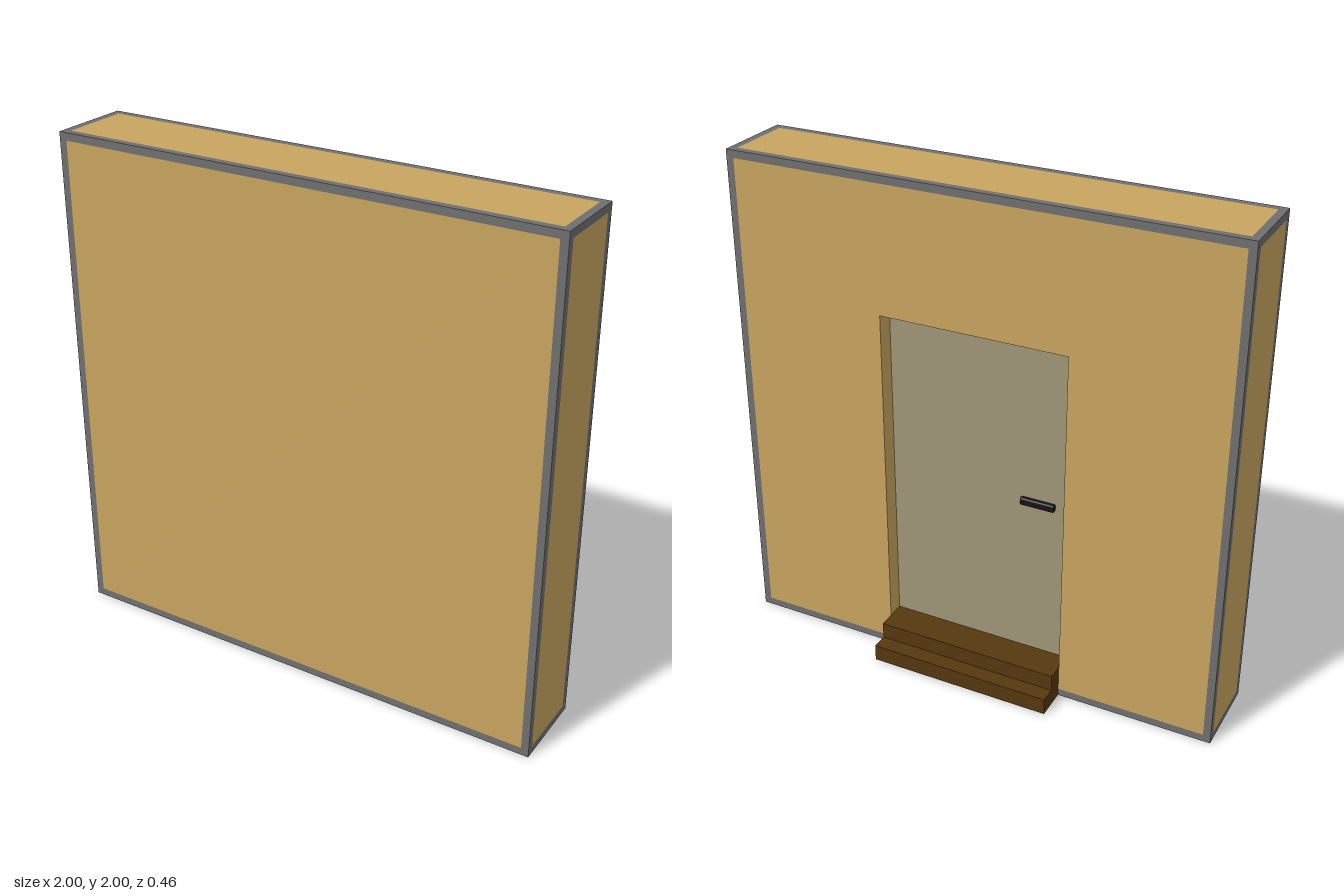
import * as THREE from 'three';
import { RoundedBoxGeometry } from 'three/addons/geometries/RoundedBoxGeometry.js';

const paint = (color) => new THREE.MeshStandardMaterial({ color });

export function createModel() {
  const model = new THREE.Group();
  const tan = paint(0xc8a45f), grey = paint(0x6f6f6f), brown = paint(0x55380f);
  const doorPaint = paint(0xa09677), black = paint(0x141414);

  // Outer extents of the wall, trim thickness and doorway
  const X = 1, H = 2, Z0 = -0.1, Z1 = 0.23, T = 0.03;
  const doorX = 0.375, doorTop = 1.467, doorZ = -0.03, stepTop = 0.135;

  // Box given by its two opposite corners
  const box = (name, mat, [x0, y0, z0], [x1, y1, z1], parent = model) => {
    const mesh = new THREE.Mesh(new THREE.BoxGeometry(x1 - x0, y1 - y0, z1 - z0), mat);
    mesh.position.set((x0 + x1) / 2, (y0 + y1) / 2, (z0 + z1) / 2);
    mesh.name = name;
    parent.add(mesh);
    return mesh;
  };

  // Grey trim along all twelve edges
  const trim = new THREE.Group();
  trim.name = 'edgeTrim';
  model.add(trim);
  for (const z of [Z0, Z1 - T]) {
    for (const y of [0, H - T]) box('horizontalTrim', grey, [-X, y, z], [X, y + T, z + T], trim);
    for (const x of [-X, X - T]) box('verticalTrim', grey, [x, T, z], [x + T, H - T, z + T], trim);
  }
  for (const x of [-X, X - T])
    for (const y of [0, H - T]) box('depthTrim', grey, [x, y, Z0 + T], [x + T, y + T, Z1 - T], trim);

  // Panels flush with the trim
  box('frontPanel', tan, [-X + T, T, Z1 - T], [X - T, H - T, Z1]);
  for (const y of [0, H - T])
    box(y ? 'topPanel' : 'bottomPanel', tan, [-X + T, y, Z0 + T], [X - T, y + T, Z1 - T]);
  for (const x of [-X, X - T])
    box(x > 0 ? 'leftPanel' : 'rightPanel', tan, [x, T, Z0 + T], [x + T, H - T, Z1 - T]);

  // Back panel with the doorway cut up from its lower edge
  const outline = [
    [-X + T, T], [-doorX, T], [-doorX, doorTop], [doorX, doorTop],
    [doorX, T], [X - T, T], [X - T, H - T], [-X + T, H - T],
  ].map(([x, y]) => new THREE.Vector2(x, y));
  const back = new THREE.Mesh(
    new THREE.ExtrudeGeometry(new THREE.Shape(outline), { depth: doorZ - Z0, bevelEnabled: false }), tan);
  back.position.z = Z0;
  back.name = 'backPanel';
  model.add(back);

  // Recessed door with its handle
  box('door', doorPaint, [-doorX, T, doorZ], [doorX, doorTop, doorZ + 0.03]);
  const handle = new THREE.Mesh(new RoundedBoxGeometry(0.14, 0.03, 0.022, 2, 0.006), black);
  handle.position.set(-0.243, 0.805, doorZ - 0.011);
  handle.name = 'doorHandle';
  model.add(handle);

  // Two steps and the threshold reaching in to the door
  const steps = new THREE.Group();
  steps.name = 'steps';
  model.add(steps);
  box('lowerStep', brown, [-doorX, 0, -0.23], [doorX, 0.068, -0.165], steps);
  box('upperStep', brown, [-doorX, 0, -0.165], [doorX, stepTop, Z0], steps);
  box('threshold', brown, [-doorX, T, Z0], [doorX, stepTop, doorZ], steps);

  return model;
}
